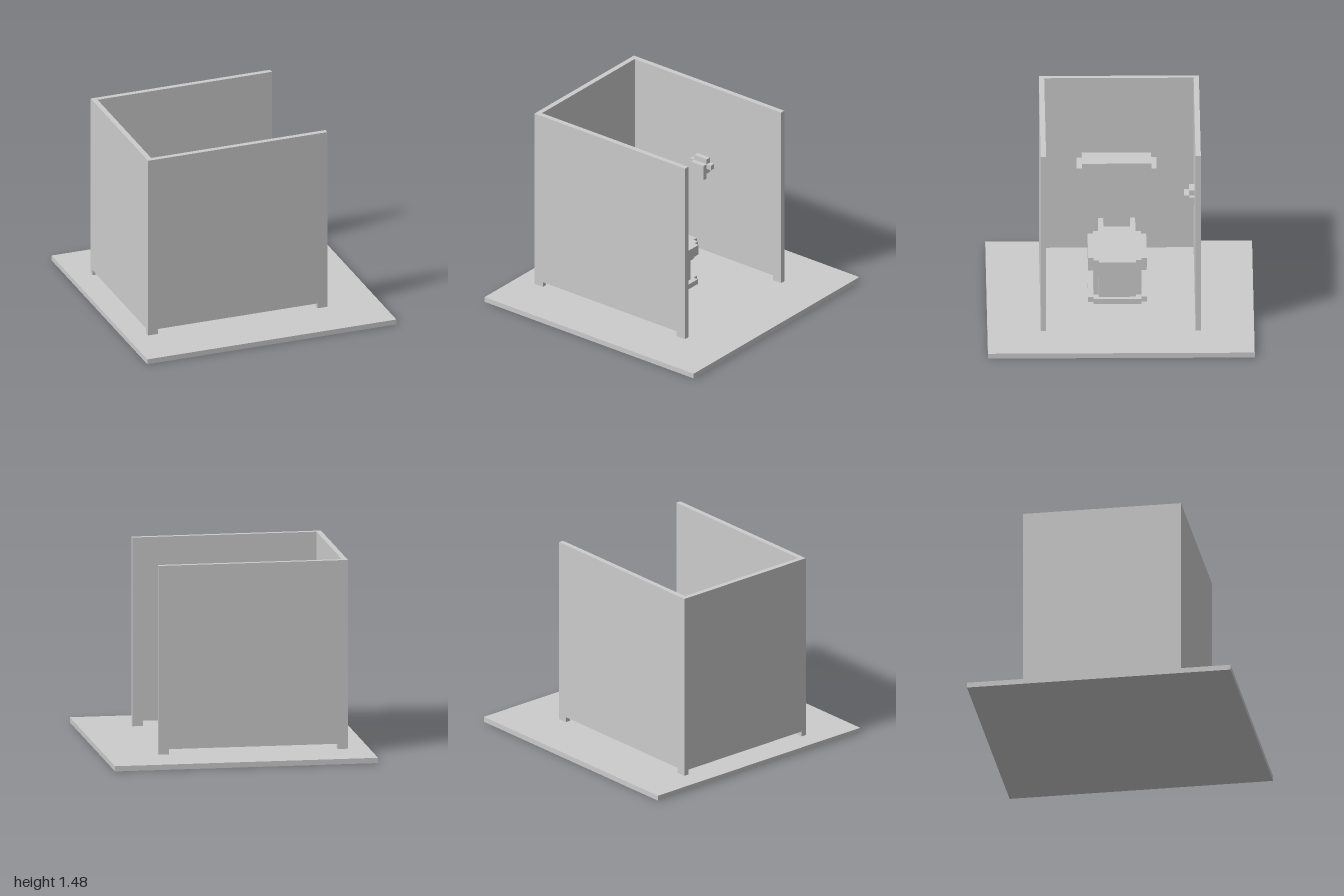
import * as THREE from 'three';

const material = new THREE.MeshStandardMaterial({ color: 0xcccccc, flatShading: true });

function add(parent, name, geometry) {
  const mesh = new THREE.Mesh(geometry, material);
  mesh.name = name;
  parent.add(mesh);
}

// Box given by its lower and upper corners
function block(parent, name, [x0, y0, z0], [x1, y1, z1]) {
  const g = new THREE.BoxGeometry(x1 - x0, y1 - y0, z1 - z0);
  g.translate((x0 + x1) / 2, (y0 + y1) / 2, (z0 + z1) / 2);
  add(parent, name, g);
}

// Stepped outline, mirrored about z = 0.02, from rows of [x0, x1, halfWidth]
function outline(rows) {
  const side = rows.flatMap(([x0, x1, h]) => [[x0, h], [x1, h]]);
  const other = side.map(([x, h]) => [x, -h]).reverse();
  return [...side, ...other].map(([x, h]) => new THREE.Vector2(x, h - 0.02));
}

// Horizontal layer between two heights, with an optional stepped opening
function layer(parent, name, y0, y1, rows, hole) {
  const shape = new THREE.Shape(outline(rows));
  if (hole) shape.holes.push(new THREE.Path(outline(hole)));
  const g = new THREE.ExtrudeGeometry(shape, { depth: y1 - y0, bevelEnabled: false });
  g.rotateX(-Math.PI / 2).translate(0, y0, 0);
  add(parent, name, g);
}

export function createModel() {
  const model = new THREE.Group();
  model.name = 'toiletStall';

  block(model, 'floor', [-1, 0, -1], [1, 0.04, 1]);

  // Partition walls: side panels stand on short feet
  const walls = new THREE.Group();
  walls.name = 'walls';
  const panel = new THREE.Shape([
    [-0.84, 0.04], [-0.76, 0.04], [-0.76, 0.08], [0.52, 0.08],
    [0.52, 0.04], [0.6, 0.04], [0.6, 1.48], [-0.84, 1.48],
  ].map(([x, y]) => new THREE.Vector2(x, y)));
  for (const [name, z] of [['frontPanel', 0.56], ['rearPanel', -0.6]]) {
    const g = new THREE.ExtrudeGeometry(panel, { depth: 0.04, bevelEnabled: false });
    add(walls, name, g.translate(0, 0, z));
  }
  block(walls, 'endPanel', [-0.84, 0.08, -0.56], [-0.8, 1.48, 0.56]);
  model.add(walls);

  // Toilet pedestal, bowl and seat
  const toilet = new THREE.Group();
  toilet.name = 'toilet';
  const well = [[-0.36, -0.32, 0.1], [-0.32, -0.12, 0.14], [-0.12, -0.08, 0.1]];
  layer(toilet, 'foot', 0.04, 0.08,
    [[-0.64, -0.32, 0.14], [-0.32, -0.28, 0.18], [-0.28, 0.08, 0.22], [0.08, 0.12, 0.18]]);
  layer(toilet, 'pedestal', 0.08, 0.24,
    [[-0.6, -0.32, 0.14], [-0.32, 0.04, 0.18], [0.04, 0.08, 0.14]]);
  layer(toilet, 'lowerBowl', 0.24, 0.28,
    [[-0.6, -0.4, 0.14], [-0.4, 0.08, 0.18]], well);
  layer(toilet, 'upperBowl', 0.28, 0.32,
    [[-0.64, -0.4, 0.14], [-0.4, -0.36, 0.18], [-0.36, 0.04, 0.22], [0.04, 0.08, 0.18], [0.08, 0.12, 0.14]], well);
  layer(toilet, 'seat', 0.32, 0.4,
    [[-0.64, -0.4, 0.14], [-0.4, -0.36, 0.18], [-0.36, 0.08, 0.22], [0.08, 0.12, 0.18], [0.12, 0.16, 0.14]],
    [[-0.36, -0.32, 0.1], [-0.32, 0.04, 0.14]]);

  // Neck widening in steps up to the tank
  [[0.4, 0.48, 0.1], [0.48, 0.52, 0.14], [0.52, 0.56, 0.18], [0.56, 0.6, 0.22]]
    .forEach(([y0, y1, h]) => layer(toilet, 'neck', y0, y1, [[-0.64, -0.48, h]]));
  layer(toilet, 'tank', 0.6, 0.88, [[-0.68, -0.48, 0.3]]);
  layer(toilet, 'tankTop', 0.88, 0.92, [[-0.68, -0.48, 0.26]]);
  model.add(toilet);

  // Paper holder on the rear panel
  const holder = new THREE.Group();
  holder.name = 'paperHolder';
  block(holder, 'roll', [-0.2, 0.76, -0.56], [-0.08, 0.88, -0.52]);
  block(holder, 'paper', [-0.2, 0.72, -0.52], [-0.08, 0.84, -0.48]);
  for (const x of [-0.24, -0.08]) {
    block(holder, 'rollEnd', [x, 0.8, -0.56], [x + 0.04, 0.84, -0.52]);
  }
  model.add(holder);

  return model;
}
